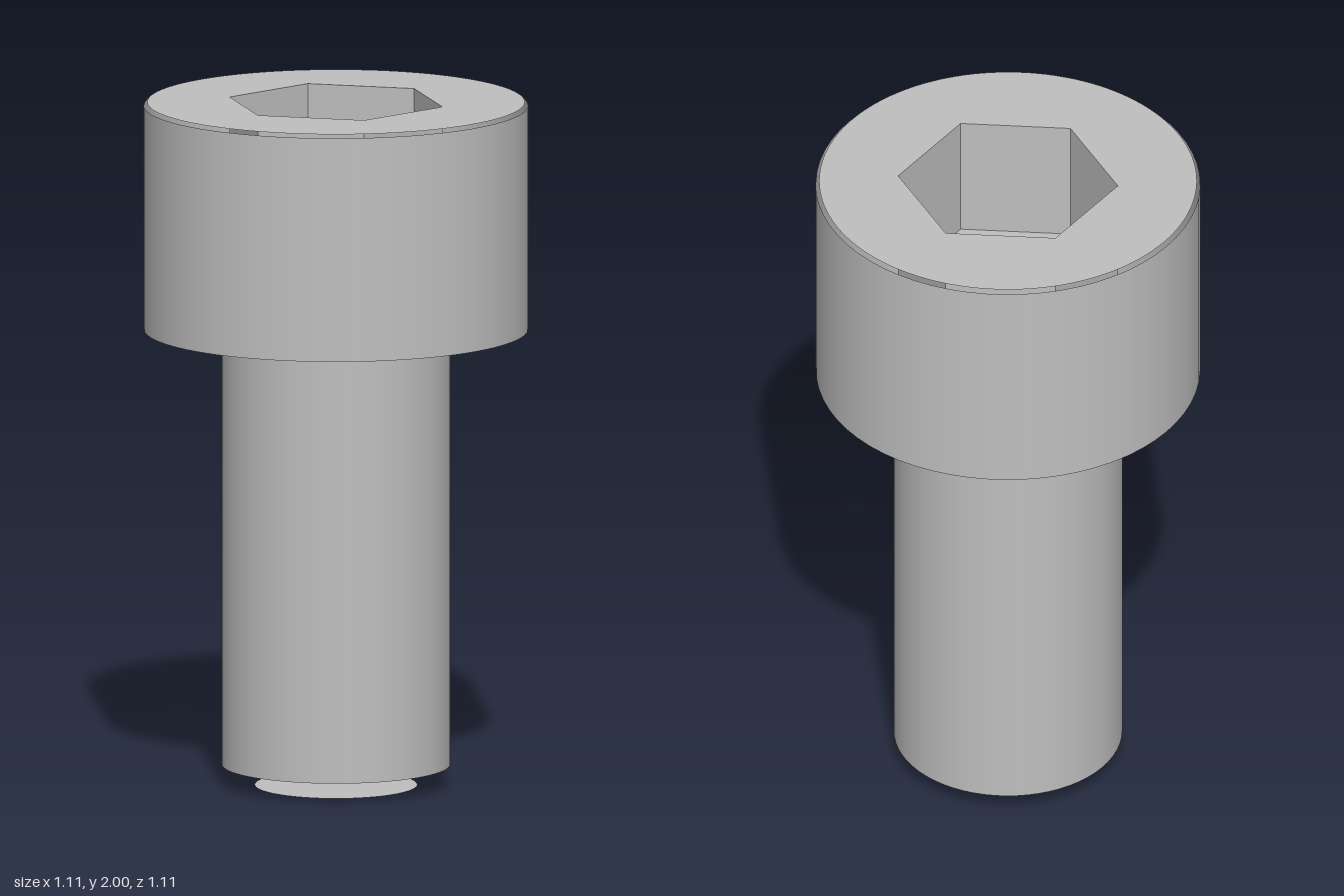
import * as THREE from 'three';

const SEGMENTS = 64;
const HEAD_R = 0.555, HEAD_BOTTOM = 1.335, HEAD_TOP = 1.99;
const SHANK_R = 0.33, SHANK_BOTTOM = 0.06, SHANK_TOP = 1.31;
const SOCKET_R = 0.318, SOCKET_FLOOR = 1.627, TOP = 2;

export function createModel() {
  const steel = new THREE.MeshStandardMaterial({ color: 0xbfbfbf, side: THREE.DoubleSide });
  steel.name = 'steel grey';

  const bolt = new THREE.Group();
  bolt.name = 'socketBolt';

  const add = (name, geometry, y) => {
    const mesh = new THREE.Mesh(geometry, steel);
    mesh.name = name;
    mesh.position.y = y;
    bolt.add(mesh);
  };
  const tube = (r, y0, y1) => new THREE.CylinderGeometry(r, r, y1 - y0, SEGMENTS, 1, true);
  const faceUp = (g) => g.rotateX(-Math.PI / 2);
  const faceDown = (g) => g.rotateX(Math.PI / 2);

  // Head: open wall, underside ring and top face with a hexagonal hole
  add('headWall', tube(HEAD_R, HEAD_BOTTOM, HEAD_TOP), (HEAD_BOTTOM + HEAD_TOP) / 2);
  add('headUnderside', faceDown(new THREE.RingGeometry(0.357, HEAD_R, SEGMENTS)), HEAD_BOTTOM);

  const face = new THREE.Shape().absarc(0, 0, 0.545, 0, Math.PI * 2);
  const hexagon = Array.from({ length: 6 }, (_, i) => {
    const a = -i * Math.PI / 3;
    return new THREE.Vector2(Math.cos(a) * SOCKET_R, Math.sin(a) * SOCKET_R);
  });
  face.holes.push(new THREE.Path(hexagon));
  add('headTop', faceUp(new THREE.ShapeGeometry(face, SEGMENTS)), TOP);

  // Hexagonal socket: flat walls facing inward, and the floor
  const walls = new THREE.CylinderGeometry(SOCKET_R, SOCKET_R, TOP - SOCKET_FLOOR, 6, 1, true, Math.PI / 2);
  walls.index.array.reverse();
  const flatWalls = walls.toNonIndexed();
  flatWalls.computeVertexNormals();
  add('socketWalls', flatWalls, (TOP + SOCKET_FLOOR) / 2);
  add('socketFloor', faceUp(new THREE.CircleGeometry(SOCKET_R, 6)), SOCKET_FLOOR);

  // Shank: open wall and the smaller end disc below it
  add('shankWall', tube(SHANK_R, SHANK_BOTTOM, SHANK_TOP), (SHANK_BOTTOM + SHANK_TOP) / 2);
  add('shankEnd', faceDown(new THREE.CircleGeometry(0.235, SEGMENTS)), 0);

  return bolt;
}
